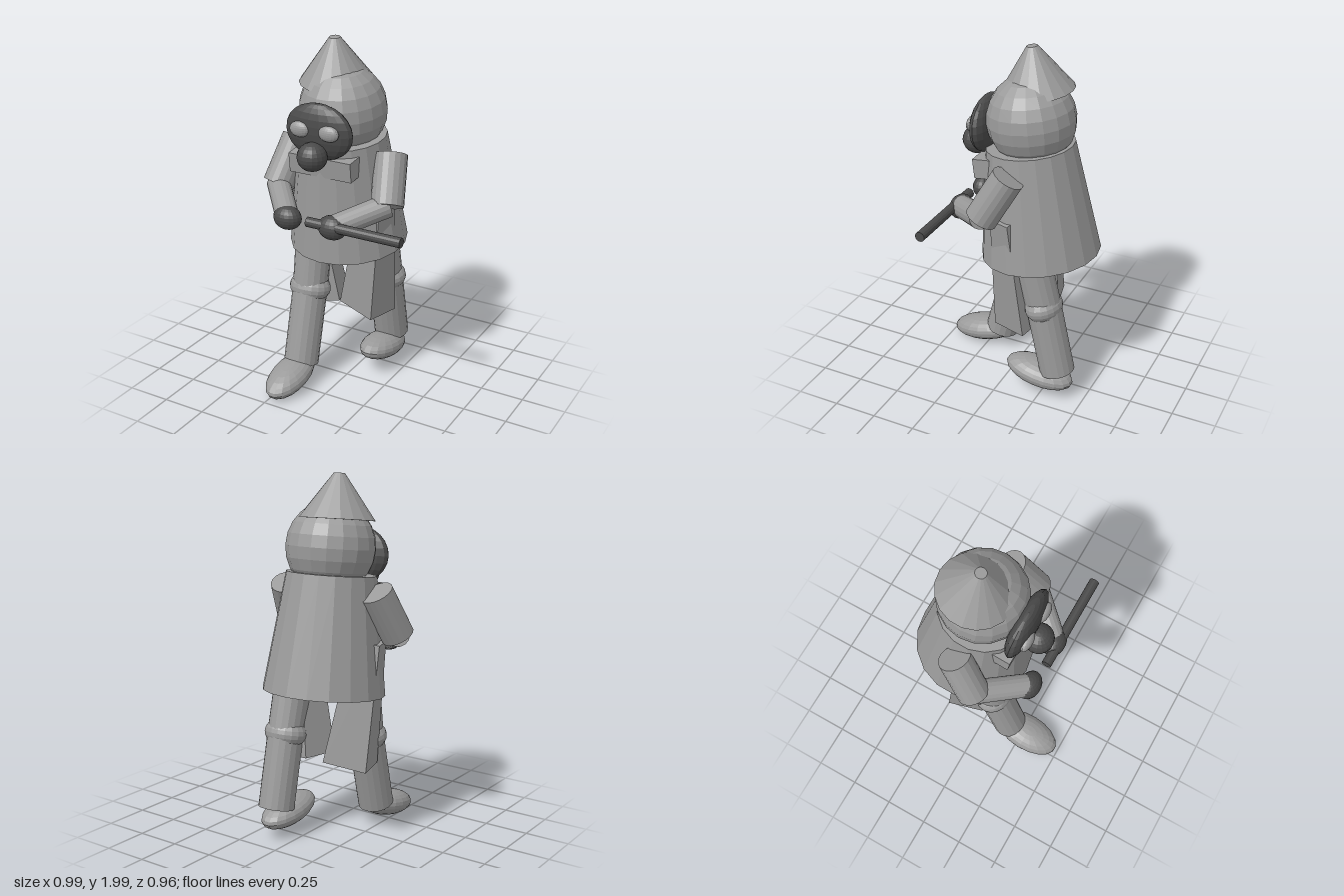
import * as THREE from 'three';

const lightGrey = new THREE.MeshStandardMaterial({ color: 0x9a9a9a, flatShading: true });
lightGrey.name = 'light grey';
const darkGrey = new THREE.MeshStandardMaterial({ color: 0x4a4a4a, flatShading: true });
darkGrey.name = 'dark grey';

const MID = -0.07; // x of the body's own mid-plane
const UP = new THREE.Vector3(0, 1, 0);

export function createModel() {
  const model = new THREE.Group();
  model.name = 'maskedFigure';

  function add(name, geometry, material, position, tilt = 0) {
    const mesh = new THREE.Mesh(geometry, material);
    mesh.name = name;
    mesh.position.set(...position);
    mesh.rotation.x = tilt;
    model.add(mesh);
    return mesh;
  }

  // Round blob with separate radii
  function blob(name, material, position, radii, tilt = 0) {
    const geometry = new THREE.SphereGeometry(1, 18, 12).scale(...radii);
    return add(name, geometry, material, position, tilt);
  }

  // Cylinder running from the lower point a to the upper point b
  function rod(name, material, a, b, rA, rB = rA, sides = 18) {
    const from = new THREE.Vector3(...a), to = new THREE.Vector3(...b);
    const axis = to.clone().sub(from);
    const geometry = new THREE.CylinderGeometry(rB, rA, axis.length(), sides);
    const mesh = add(name, geometry, material, from.add(to).multiplyScalar(0.5).toArray());
    mesh.quaternion.setFromUnitVectors(UP, axis.normalize());
    return mesh;
  }

  // Coat, head and pointed hat, all leaning slightly forward
  rod('coat', lightGrey, [MID, 0.833, -0.147], [MID, 1.47, -0.075], 0.335, 0.245);
  blob('head', lightGrey, [MID, 1.61, -0.08], [0.243, 0.25, 0.243], 0.114);
  rod('hat', lightGrey, [-0.115, 1.762, -0.09], [-0.11, 2, -0.06], 0.205, 0.03);
  add('chestPanel', new THREE.BoxGeometry(0.38, 0.11, 0.12), lightGrey, [MID, 1.353, 0.115], 0.114);

  // Mask with snout
  blob('mask', darkGrey, [MID, 1.548, 0.172], [0.203, 0.157, 0.062], 0.06);
  blob('maskSnout', darkGrey, [MID, 1.43, 0.247], [0.083, 0.078, 0.08]);

  // Tapered coat tail, wide at the bottom and turned towards the middle
  function coatTail(side) {
    const geometry = new THREE.BoxGeometry(1, 1, 1);
    const p = geometry.attributes.position;
    const c = Math.cos(0.27), s = Math.sin(0.27);
    for (let i = 0; i < p.count; i++) {
      const t = p.getY(i) + 0.5;
      const w = side * p.getX(i) * THREE.MathUtils.lerp(0.245, 0.15, t);
      const d = p.getZ(i) * THREE.MathUtils.lerp(0.205, 0.12, t);
      const x = 0.1475 + 0.0825 * t + w * c - d * s;
      p.setXYZ(i, side * x, 0.443 + 0.68 * t - 0.14 * w, -0.105 + 0.055 * t + w * s + d * c);
    }
    geometry.computeVertexNormals();
    return geometry;
  }

  for (const [side, label] of [[1, 'left'], [-1, 'right']]) {
    const at = (x, y, z) => [MID + side * x, y, z];
    blob(label + 'Eye', lightGrey, at(0.088, 1.563, 0.225), [0.06, 0.043, 0.028]);
    add(label + 'CoatTail', coatTail(side), lightGrey, [MID, 0, 0]);

    // Bent arms
    rod(label + 'UpperArm', lightGrey, at(0.345, 1.15, 0.05), at(0.295, 1.395, -0.085), 0.09);
    rod(label + 'Forearm', lightGrey, at(0.14, 1.07, 0.28), at(0.345, 1.155, 0.05), 0.064, 0.066);
    blob(label + 'Hand', darkGrey, at(0.14, 1.07, 0.28), [0.083, 0.067, 0.062]);
  }

  // Held stick
  rod('stick', darkGrey, [-0.07, 1.083, 0.303], [0.49, 1.083, 0.303], 0.028, 0.028, 14);

  // Striding legs
  const legs = [
    { label: 'left', x: 0.115, hip: [0.95, -0.155], knee: [0.59, -0.25], ankle: [0.18, -0.34],
      foot: [0.135, -0.23], pitch: -0.16 },
    { label: 'right', x: -0.212, hip: [0.95, -0.01], knee: [0.56, 0.055], ankle: [0.125, 0.165],
      foot: [0.092, 0.285], pitch: 0.2 },
  ];
  for (const { label, x, hip, knee, ankle, foot, pitch } of legs) {
    rod(label + 'Thigh', lightGrey, [x, ...knee], [x, ...hip], 0.1, 0.105);
    blob(label + 'Knee', lightGrey, [x, ...knee], [0.123, 0.085, 0.105], pitch < 0 ? 0.2 : -0.22);
    rod(label + 'Shin', lightGrey, [x, ...ankle], [x, ...knee], 0.1);
    blob(label + 'Foot', lightGrey, [x, ...foot], [0.11, 0.073, 0.205], pitch);
  }

  return model;
}
